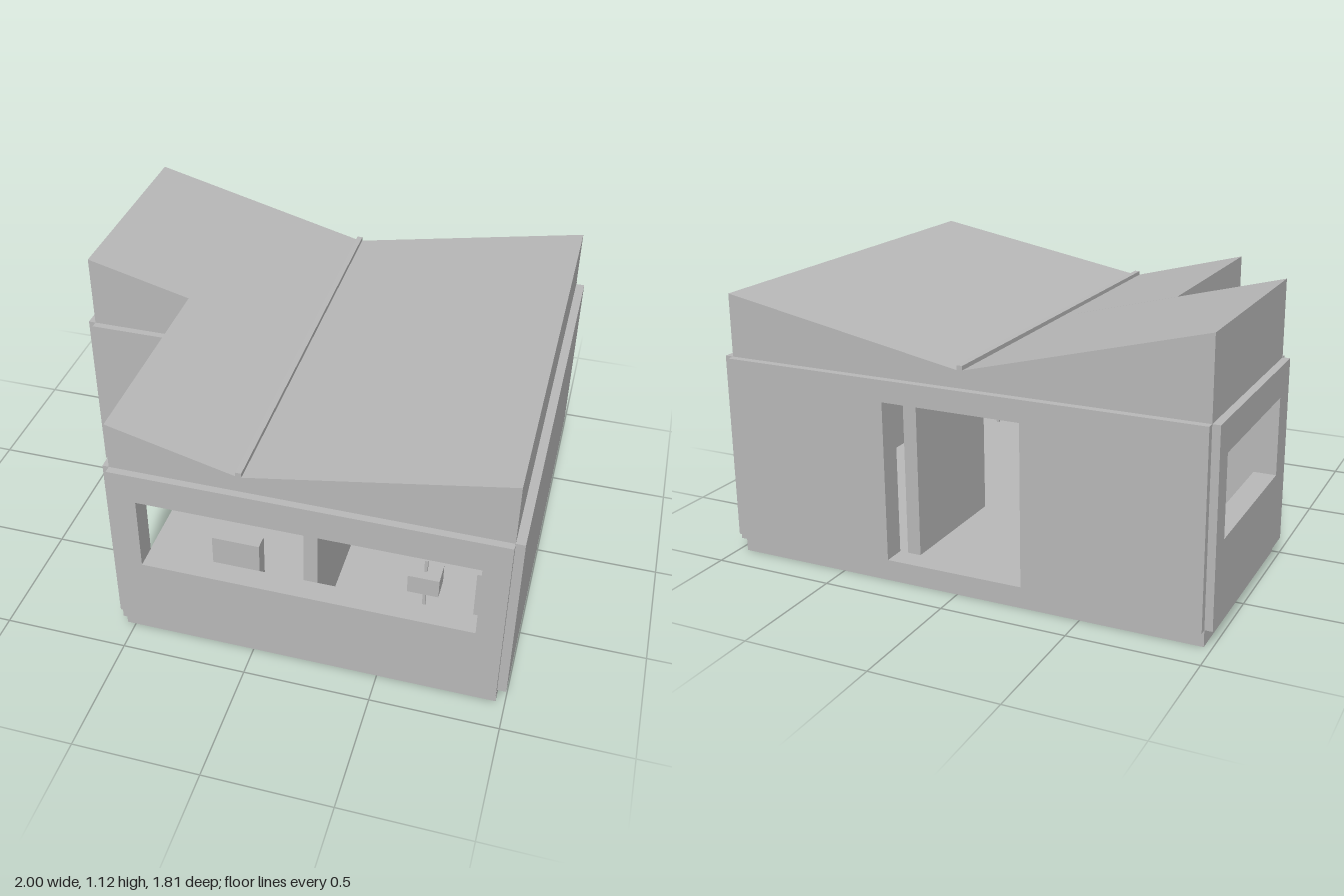
import * as THREE from 'three';

export function createModel() {
  const model = new THREE.Group();
  model.name = 'house';
  const grey = new THREE.MeshStandardMaterial({ color: 0xb8b8b8 });
  grey.name = 'plain grey';

  const add = (name, geometry) => {
    const mesh = new THREE.Mesh(geometry, grey);
    mesh.name = name;
    model.add(mesh);
    return mesh;
  };

  // Box given by its limits on each axis
  const box = (name, [x0, x1], [y0, y1], [z0, z1]) =>
    add(name, new THREE.BoxGeometry(x1 - x0, y1 - y0, z1 - z0))
      .position.set((x0 + x1) / 2, (y0 + y1) / 2, (z0 + z1) / 2);

  const polygon = (points) => new THREE.Shape(points.map(([x, y]) => new THREE.Vector2(x, y)));
  const rectangle = (u0, u1, y0, y1) => [[u0, y0], [u1, y0], [u1, y1], [u0, y1]];
  const extrude = (shape, depth) => new THREE.ExtrudeGeometry(shape, { depth, bevelEnabled: false });

  // Upright slab with an optional opening; axis is the one its length runs along
  const slab = (name, axis, [u0, u1], [y0, y1], [d0, d1], hole) => {
    const shape = polygon(rectangle(u0, u1, y0, y1));
    if (hole) shape.holes.push(polygon(rectangle(...hole)));
    const mesh = add(name, extrude(shape, d1 - d0));
    if (axis === 'x') mesh.position.z = d0;
    else {
      mesh.rotation.y = -Math.PI / 2;
      mesh.position.x = d1;
    }
  };

  const CEILING = 0.75;
  const core = [0, CEILING];
  const panel = [0.065, 0.815];
  const frontWindow = [-0.43, 0.865, 0.375, 0.69];
  const wingWindow = [-0.785, -0.12, 0.375, 0.69];
  const backDoor = [-0.28, 0.28, 0.1, 0.73];
  const porchDoor = [0.155, 0.72, 0.1, 0.73];

  // Structural walls around the L-shaped plan
  slab('frontWall', 'x', [-0.535, 0.965], core, [0.815, 0.875], frontWindow);
  slab('backWall', 'x', [-0.97, 0.965], core, [-0.875, -0.815], backDoor);
  slab('leftWall', 'z', [-0.815, 0.815], core, [0.905, 0.965]);
  slab('wingSideWall', 'z', [-0.815, -0.06], core, [-0.97, -0.91], wingWindow);
  slab('wingFrontWall', 'x', [-0.97, -0.475], core, [-0.06, 0]);
  slab('porchWall', 'z', [0, 0.815], core, [-0.535, -0.475], porchDoor);

  // Outer cladding panels with the same openings
  slab('frontCladding', 'x', [-0.535, 0.965], panel, [0.875, 0.905], frontWindow);
  slab('backCladding', 'x', [-0.97, 0.965], panel, [-0.905, -0.875], backDoor);
  slab('leftCladding', 'z', [-0.875, 0.875], panel, [0.965, 1]);
  slab('wingSideCladding', 'z', [-0.875, 0], panel, [-1, -0.97], wingWindow);
  slab('wingFrontCladding', 'x', [-0.97, -0.56], panel, [0, 0.03]);
  slab('porchCladding', 'z', [0, 0.875], panel, [-0.56, -0.535], porchDoor);

  // Floor in two rectangles
  box('wingFloor', [-0.91, 0.905], [0, 0.1], [-0.815, -0.06]);
  box('frontFloor', [-0.475, 0.905], [0, 0.1], [-0.06, 0.815]);

  // Butterfly roof, shortened at the front by the porch
  const roof = (name, x0, height, z0) =>
    add(name, extrude(polygon([
      [x0, CEILING], [0.965, CEILING], [0.965, 1.065], [-0.03, 0.88], [x0, height],
    ]), 0.875)).position.z = z0;
  roof('backRoof', -0.97, 1.125, -0.875);
  roof('frontRoof', -0.535, 1.012, 0);
  box('valleyStrip', [-0.043, -0.02], [0.87, 0.9], [-0.875, 0.875]);

  // Inner partition with a doorway in its middle
  for (const [z0, z1] of [[-0.815, -0.28], [0.28, 0.815]])
    box('partition', [0.19, 0.245], [0.1, CEILING], [z0, z1]);
  box('partitionHeader', [0.19, 0.245], [0.73, CEILING], [-0.28, 0.28]);

  // Furniture seen through the front window
  box('chairBack', [-0.19, 0], [0.1, 0.455], [0.71, 0.77]);
  box('basin', [0.58, 0.7], [0.38, 0.46], [0.68, 0.77]);
  box('basinPole', [0.634, 0.646], [0.1, 0.515], [0.72, 0.732]);
  box('cabinet', [0.83, 0.905], [0.1, 0.485], [0.6, 0.72]);

  return model;
}
